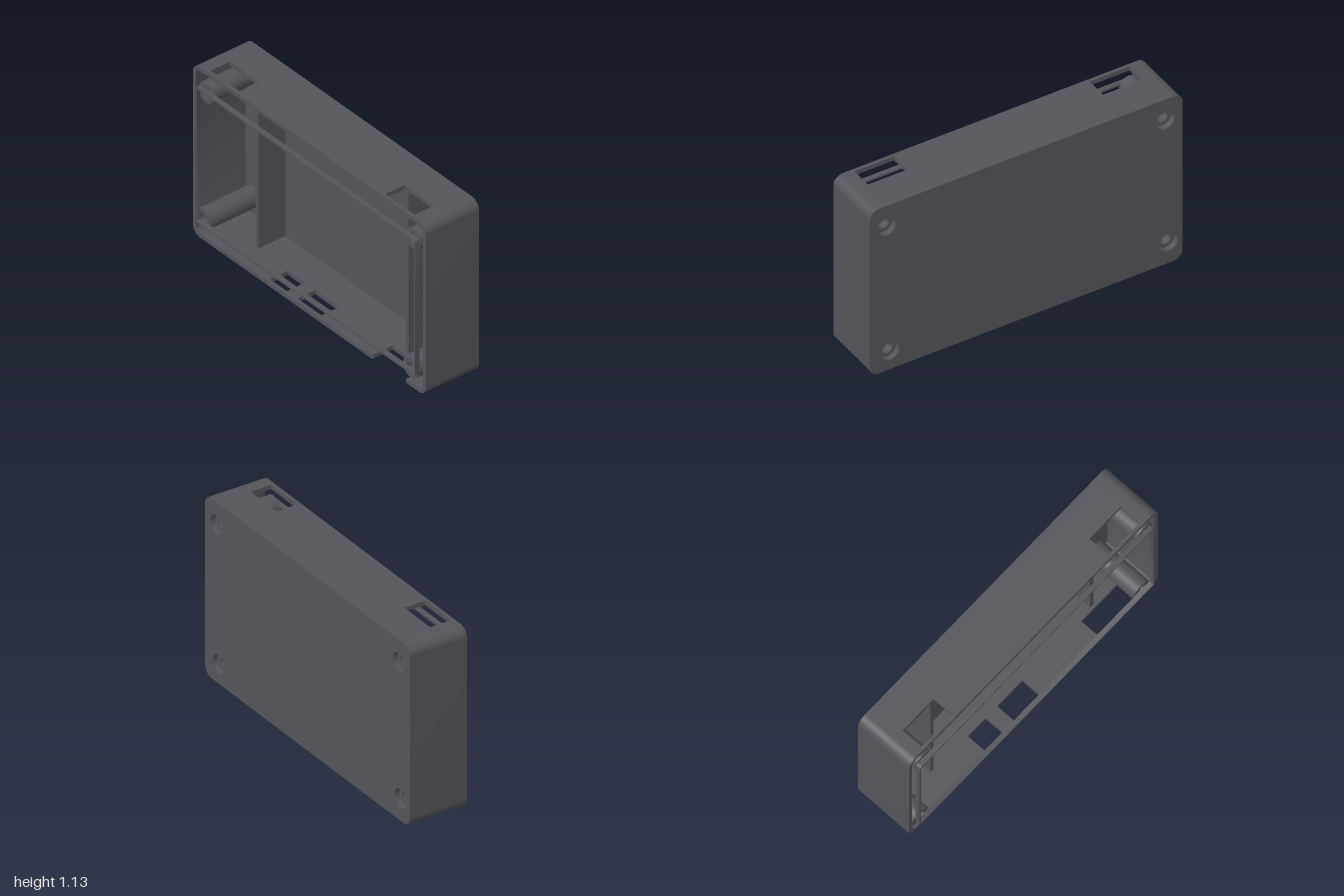
import * as THREE from 'three';
import { toCreasedNormals } from 'three/addons/utils/BufferGeometryUtils.js';

const H = 1.13, BACK = -0.2, FLOOR = -0.173, STEP = -0.165, FRONT = 0.172, LIP = 0.202;
const WALL = 0.027, R = 0.06, SPLIT = 0.9;
const SCREWS = [[-0.89, 0.986], [0.89, 0.986], [-0.91, 0.14], [0.868, 0.122]];
const HEAD_R = 0.058, HOLE_R = 0.034;

// Rounded rectangle, as a Shape or a hole Path
function roundRect(x0, y0, x1, y1, r, p = new THREE.Shape()) {
  p.moveTo(x0 + r, y0);
  p.lineTo(x1 - r, y0);
  p.absarc(x1 - r, y0 + r, r, -Math.PI / 2, 0);
  p.lineTo(x1, y1 - r);
  p.absarc(x1 - r, y1 - r, r, 0, Math.PI / 2);
  p.lineTo(x0 + r, y1);
  p.absarc(x0 + r, y1 - r, r, Math.PI / 2, Math.PI);
  p.lineTo(x0, y0 + r);
  p.absarc(x0 + r, y0 + r, r, Math.PI, Math.PI * 1.5);
  return p;
}

const circle = (x, y, r, p = new THREE.Path()) => p.absarc(x, y, r, 0, Math.PI * 2);
const polygon = (pts) => new THREE.Shape(pts.map(([x, y]) => new THREE.Vector2(x, y)));
const rect = (x0, y0, x1, y1) => polygon([[x0, y0], [x1, y0], [x1, y1], [x0, y1]]);

export function createModel() {
  const group = new THREE.Group();
  const material = new THREE.MeshStandardMaterial({ color: 0x55545a });

  function add(name, geometry) {
    const mesh = new THREE.Mesh(toCreasedNormals(geometry, 0.6), material);
    mesh.name = name;
    group.add(mesh);
  }
  function extrude(name, shape, z0, z1) {
    const g = new THREE.ExtrudeGeometry(shape, { depth: z1 - z0, bevelEnabled: false, curveSegments: 12 });
    add(name, g.translate(0, 0, z0));
  }
  // Horizontal panel drawn in x and z
  function panel(name, shape, yTop) {
    const g = new THREE.ExtrudeGeometry(shape, { depth: WALL, bevelEnabled: false });
    add(name, g.rotateX(Math.PI / 2).translate(0, yTop, 0));
  }

  // Back plate with screw-head recesses
  const plate = roundRect(-1, 0, 1, H, R);
  for (const [x, y] of SCREWS) plate.holes.push(circle(x, y, HEAD_R));
  extrude('backPlate', plate, BACK, FLOOR);

  // Screw posts: a short collar around the recess, then a narrow bore
  for (const [x, y] of SCREWS) {
    for (const [name, z0, z1, r] of [['screwCollar', FLOOR, STEP, HEAD_R], ['screwPost', STEP, FRONT, HOLE_R]]) {
      const post = circle(x, y, 0.065, new THREE.Shape());
      post.holes.push(circle(x, y, r));
      extrude(name, post, z0, z1);
    }
  }

  // Side walls with rounded corners
  const ri = R - WALL, q = Math.PI / 2;
  const side = new THREE.Shape();
  side.moveTo(SPLIT, 0);
  side.lineTo(1 - R, 0);
  side.absarc(1 - R, R, R, -q, 0);
  side.lineTo(1, H - R);
  side.absarc(1 - R, H - R, R, 0, q);
  side.lineTo(SPLIT, H);
  side.lineTo(SPLIT, H - WALL);
  side.absarc(1 - R, H - R, ri, q, 0, true);
  side.lineTo(1 - WALL, R);
  side.absarc(1 - R, R, ri, 0, -q, true);
  side.lineTo(SPLIT, WALL);
  extrude('leftWall', side, FLOOR, FRONT);
  const mirrored = new THREE.Shape(side.getPoints(12).map((p) => new THREE.Vector2(-p.x, p.y)));
  extrude('rightWall', mirrored, FLOOR, FRONT);

  // Top wall with two windows
  const top = rect(-SPLIT, FLOOR, SPLIT, FRONT);
  top.holes.push(rect(0.625, 0.014, 0.877, 0.15), rect(-0.877, 0.014, -0.625, 0.15));
  panel('topWall', top, H);

  // Bottom wall with an open notch and two small ports
  const bottom = polygon([[-SPLIT, FLOOR], [SPLIT, FLOOR], [SPLIT, FRONT], [0.83, FRONT],
    [0.83, 0.03], [0.54, 0.03], [0.54, FRONT], [-SPLIT, FRONT]]);
  bottom.holes.push(rect(-0.13, 0.025, 0.075, 0.15), rect(-0.365, 0.025, -0.22, 0.15));
  panel('bottomWall', bottom, WALL);

  // Inner dividers
  const depth = 0.014 - FLOOR;
  for (const s of [-1, 1]) {
    const g = new THREE.BoxGeometry(0.026, H - 2 * WALL, depth);
    add('divider', g.translate(s * 0.642, H / 2, FLOOR + depth / 2));
  }

  // Thin locating frame standing proud of the rim
  const frame = roundRect(-0.945, 0.115, 0.945, 1.014, 0.018);
  frame.holes.push(roundRect(-0.933, 0.127, 0.933, 1.002, 0.006, new THREE.Path()));
  extrude('locatingFrame', frame, FRONT, LIP);

  return group;
}
